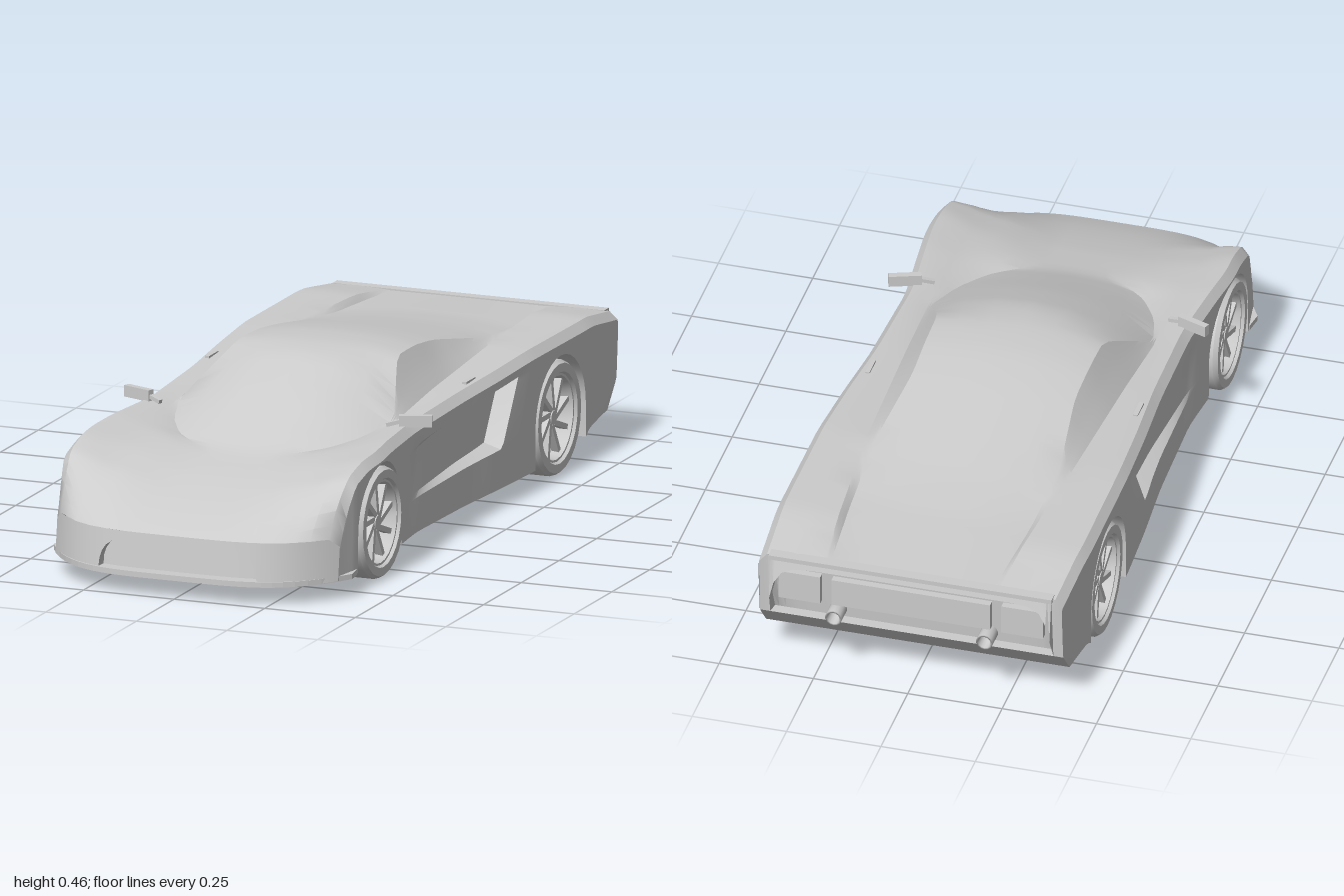
import * as THREE from 'three';
import { toCreasedNormals } from 'three/addons/utils/BufferGeometryUtils.js';

const grey = new THREE.MeshStandardMaterial({ color: 0xcccccc, side: THREE.DoubleSide });
const { clamp, lerp } = THREE.MathUtils;

function part(name, geometry, parent, x = 0, y = 0, z = 0) {
  const mesh = new THREE.Mesh(geometry, grey);
  mesh.name = name;
  mesh.position.set(x, y, z);
  parent.add(mesh);
  return mesh;
}

// Softened line through [z, value] pairs, listed from front to back
function curve(keys) {
  const at = z => {
    if (z >= keys[0][0]) return keys[0][1];
    for (let i = 1; i < keys.length; i++) {
      const [z0, a] = keys[i - 1], [z1, b] = keys[i];
      if (z >= z1) return lerp(a, b, (z0 - z) / (z0 - z1));
    }
    return keys[keys.length - 1][1];
  };
  return z => {
    const d = Math.max(0, Math.min(0.025, 0.98 - z, z + 0.99));
    return (at(z - d) + 2 * at(z) + at(z + d)) / 4;
  };
}

// Surface through rows of [x, y, z] points
function skin(rows, closed = false, crease = 0.5) {
  const n = rows[0].length, index = [];
  for (let i = 0; i < rows.length - 1; i++) {
    for (let j = 0; j < (closed ? n : n - 1); j++) {
      const a = i * n + j, b = i * n + (j + 1) % n;
      index.push(a, b, a + n, b, b + n, a + n);
    }
  }
  const g = new THREE.BufferGeometry();
  g.setAttribute('position', new THREE.Float32BufferAttribute(rows.flat(2), 3));
  g.setIndex(index);
  return toCreasedNormals(g, crease);
}

const FRONT = 0.98, REAR = -0.99;
const wheels = [
  { name: 'frontWheel', z: 0.59, r: 0.145, arch: 0.158 },
  { name: 'rearWheel', z: -0.575, r: 0.15, arch: 0.165 },
];

// Lengthwise lines of the body
const centreY = curve([[0.98, 0.16], [0.9, 0.195], [0.8, 0.228], [0.7, 0.255], [0.55, 0.285], [0.3, 0.395], [0.15, 0.45],
  [0.05, 0.461], [-0.08, 0.458], [-0.2, 0.441], [-0.55, 0.378], [-0.7, 0.358], [-0.99, 0.338]]);
const roofX = curve([[0.98, 0.15], [0.6, 0.1], [0.55, 0.11], [0.48, 0.2], [0.38, 0.26], [0.25, 0.295], [0.05, 0.22],
  [-0.2, 0.215], [-0.45, 0.245], [-0.7, 0.235], [-0.99, 0.215]]);
const roofY = curve([[0.98, 0.16], [0.9, 0.196], [0.8, 0.23], [0.7, 0.256], [0.55, 0.285], [0.38, 0.306], [0.25, 0.327],
  [0.05, 0.442], [-0.08, 0.44], [-0.2, 0.425], [-0.45, 0.375], [-0.65, 0.35], [-0.99, 0.338]]);
const baseX = curve([[0.98, 0.3], [0.25, 0.302], [-0.45, 0.272], [-0.65, 0.255], [-0.99, 0.23]]);
const baseY = curve([[0.98, 0.16], [0.9, 0.215], [0.78, 0.275], [0.65, 0.305], [0.5, 0.318], [0.25, 0.325],
  [0, 0.345], [-0.45, 0.365], [-0.8, 0.362], [-0.99, 0.338]]);
const shoulderY = curve([[0.98, 0.16], [0.93, 0.215], [0.86, 0.262], [0.78, 0.297], [0.68, 0.325], [0.5, 0.335],
  [0.3, 0.335], [0, 0.346], [-0.4, 0.366], [-0.8, 0.364], [-0.99, 0.338]]);
const width = curve([[0.98, 0.39], [0.8, 0.402], [0.6, 0.407], [0.45, 0.392], [0.3, 0.377], [0, 0.385],
  [-0.2, 0.4], [-0.4, 0.41], [-0.75, 0.412], [-0.99, 0.402]]);
const floorY = curve([[0.98, 0.05], [-0.72, 0.05], [-0.77, 0.08], [-0.99, 0.095]]);
const scoopTop = curve([[0.35, 0.275], [-0.31, 0.322]]);
const scoopLow = curve([[0.35, 0.14], [-0.31, 0.156]]);

// Round the nose in plan and lean the nose and tail
function warp([x, y, z]) {
  const nose = clamp((z - 0.76) / 0.22, 0, 1), tail = clamp((-0.75 - z) / 0.24, 0, 1);
  const lean = y > 0.25 ? (y - 0.25) * 0.25 : (0.25 - y) ** 2 * 3.5;
  z += nose * (Math.max(0, 0.16 - y) * 0.13 - 0.16 * (Math.abs(x) / 0.4) ** 4) + tail * lean;
  return [x, y, z];
}

function section(z) {
  const yc = centreY(z), xr = roofX(z), yr = roofY(z), xb = baseX(z), yb = baseY(z);
  const w = width(z), ys = shoulderY(z), yt = ys - 0.022, yf = floorY(z);
  // Lower edge of the side rises over each wheel
  let yl = yf;
  for (const { z: c, r, arch } of wheels) {
    const d = arch ** 2 - (z - c) ** 2;
    if (d >= -1e-9) yl = r + Math.sqrt(Math.max(0, d));
  }
  // Door scoop deepens toward its slanted rear end
  const depth = z < -0.255 ? 0 : 0.05 * clamp((0.35 - z) / 0.6, 0, 1);
  const top = Math.min(scoopTop(z), yt - 0.005), low = Math.min(scoopLow(z), top - 0.03);
  const slant = Math.max(0, 1 - Math.abs(z + 0.255) / 0.15) * 0.67;
  const side = [[w, top], [w - depth, top - 0.012], [w - depth, low + 0.012], [w, low]].map(([x, y], k) => {
    const h = Math.max(y, yl + 0.004 - k * 0.001);
    return [x, h, z - (h - 0.235) * slant];
  });
  const half = [
    [0, yc, z], [xr * 0.35, lerp(yc, yr, 0.1), z], [xr * 0.7, lerp(yc, yr, 0.42), z], [xr, yr, z],
    [lerp(xr, xb, 0.33), lerp(yr, yb, 0.36), z], [lerp(xr, xb, 0.67), lerp(yr, yb, 0.7), z], [xb, yb, z],
    [(xb + w - 0.02) / 2, (yb + ys) / 2 + 0.003, z], [w - 0.02, ys, z], [w, Math.max(yt, yl + 0.005), z],
    ...side, [w, yl, z], [0.285, yl, z], [0.285, yf, z], [0, yf, z],
  ].map(warp);
  const mirrored = half.slice(1, -1).reverse().map(([x, y, d]) => [-x, y, d]);
  return [...half, ...mirrored];
}

function bodyGeometry() {
  let zs = [FRONT, REAR, -0.25, -0.26];
  for (let z = 0.95; z > -0.98; z -= 0.04) zs.push(z);
  for (const { z, arch } of wheels) {
    zs = zs.filter(s => Math.abs(s - z) > arch + 0.005);
    for (let i = 0; i <= 16; i++) zs.push(z + arch * Math.cos(i * Math.PI / 16));
    zs.push(z + arch + 0.001, z - arch - 0.001);
  }
  return skin(zs.sort((a, b) => b - a).map(section), true);
}

// End panel with a sunken opening of half width hw between y0 and y1
function fascia(z, dir, hw, y0, y1, depth, power) {
  const w = width(z), xs = w - 0.02, ys = shoulderY(z), yf = floorY(z);
  const right = [0, 0.25, 0.5, 0.7, 0.83, 0.91, 0.96, 0.99, 1].map(f => f * hw);
  for (let i = 1; i <= 4; i++) right.push(lerp(hw, xs, i / 4));
  right.push(w);
  const xsAll = [...right.slice(1).reverse().map(x => -x), ...right];
  if (dir < 0) xsAll.reverse();
  const row = (yAt, sunk) => xsAll.map(x => {
    const p = warp([x, yAt(x), z]);
    if (sunk && Math.abs(x) < hw) p[2] -= dir * depth;
    return p;
  });
  const arch = x => y0 + (y1 - y0) * Math.sqrt(Math.max(0, 1 - (Math.abs(x) / hw) ** power));
  const edge = x => (Math.abs(x) > xs + 0.001 ? ys - 0.022 : ys);
  return skin([row(() => yf), row(() => y0), row(() => y0, true), row(arch, true), row(arch), row(edge)], false, 0.4);
}

// Thin lip under the nose
function splitterGeometry() {
  const pts = [];
  for (let i = 0; i <= 32; i++) {
    const x = lerp(-0.412, 0.412, i / 32);
    pts.push(new THREE.Vector2(x, 1 - 0.17 * (Math.abs(x) / 0.4) ** 4));
  }
  pts.push(new THREE.Vector2(0.405, 0.76), new THREE.Vector2(-0.405, 0.76));
  return new THREE.ExtrudeGeometry(new THREE.Shape(pts), { depth: 0.014, bevelEnabled: false }).rotateX(Math.PI / 2);
}

function makeWheel({ name, r }) {
  const wheel = new THREE.Group();
  wheel.name = name;
  const profile = [[0, 0], [0.9, 0], [1, 0.012], [1, 0.096], [0.95, 0.108], [0.8, 0.108], [0.77, 0.1],
    [0.73, 0.1], [0.68, 0.055], [0, 0.055]].map(([a, b]) => new THREE.Vector2(a * r, b));
  part('tyreAndRim', toCreasedNormals(new THREE.LatheGeometry(profile, 24).rotateZ(-Math.PI / 2), 0.5), wheel);
  part('hub', new THREE.CylinderGeometry(0.018, 0.025, 0.035, 12).rotateZ(-Math.PI / 2), wheel, 0.075);
  for (let i = 0; i < 9; i++) {
    const spoke = new THREE.BoxGeometry(0.02, r * 0.62, 0.014);
    spoke.rotateX(0.18).translate(0, r * 0.41, 0).rotateX(i * Math.PI * 2 / 9);
    part('spoke', spoke, wheel, 0.08);
  }
  return wheel;
}

export function createModel() {
  const car = new THREE.Group();
  car.name = 'sportsCar';
  part('body', bodyGeometry(), car);
  part('frontBumper', fascia(FRONT, 1, 0.218, 0.062, 0.141, 0.03, 8), car);
  part('rearPanel', fascia(REAR, -1, 0.375, 0.16, 0.312, 0.03, 16), car);
  part('splitter', splitterGeometry(), car, 0, 0.062, 0);
  part('rearLip', new THREE.BoxGeometry(0.75, 0.012, 0.03), car, 0, 0.337, -0.965);
  part('rearGrille', new THREE.BoxGeometry(0.42, 0.075, 0.02), car, 0, 0.255, -0.963);

  for (const s of [1, -1]) {
    for (const w of wheels) {
      const wheel = makeWheel(w);
      wheel.position.set(s * 0.3, w.r, w.z);
      if (s < 0) wheel.rotation.y = Math.PI;
      car.add(wheel);
    }
    part('tailLight', new THREE.BoxGeometry(0.11, 0.08, 0.02), car, s * 0.295, 0.255, -0.963);
    const pipe = [[0.015, 0], [0.022, 0], [0.022, 0.05], [0.017, 0.05], [0.015, 0.01], [0, 0.01]];
    part('exhaust', new THREE.LatheGeometry(pipe.map(p => new THREE.Vector2(...p)), 14).rotateX(-Math.PI / 2),
      car, s * 0.2, 0.188, -0.94);
    // Door mirror on its short arm
    part('mirror', new THREE.BoxGeometry(0.085, 0.03, 0.018), car, s * 0.382, 0.347, 0.317).rotation.y = s * 0.35;
    part('mirrorArm', new THREE.BoxGeometry(0.045, 0.01, 0.012), car, s * 0.332, 0.342, 0.335).rotation.set(0, s * 0.35, s * 0.25);
    part('doorHandle', new THREE.BoxGeometry(0.012, 0.006, 0.06), car, s * 0.355, 0.354, -0.1);
  }
  return car;
}
